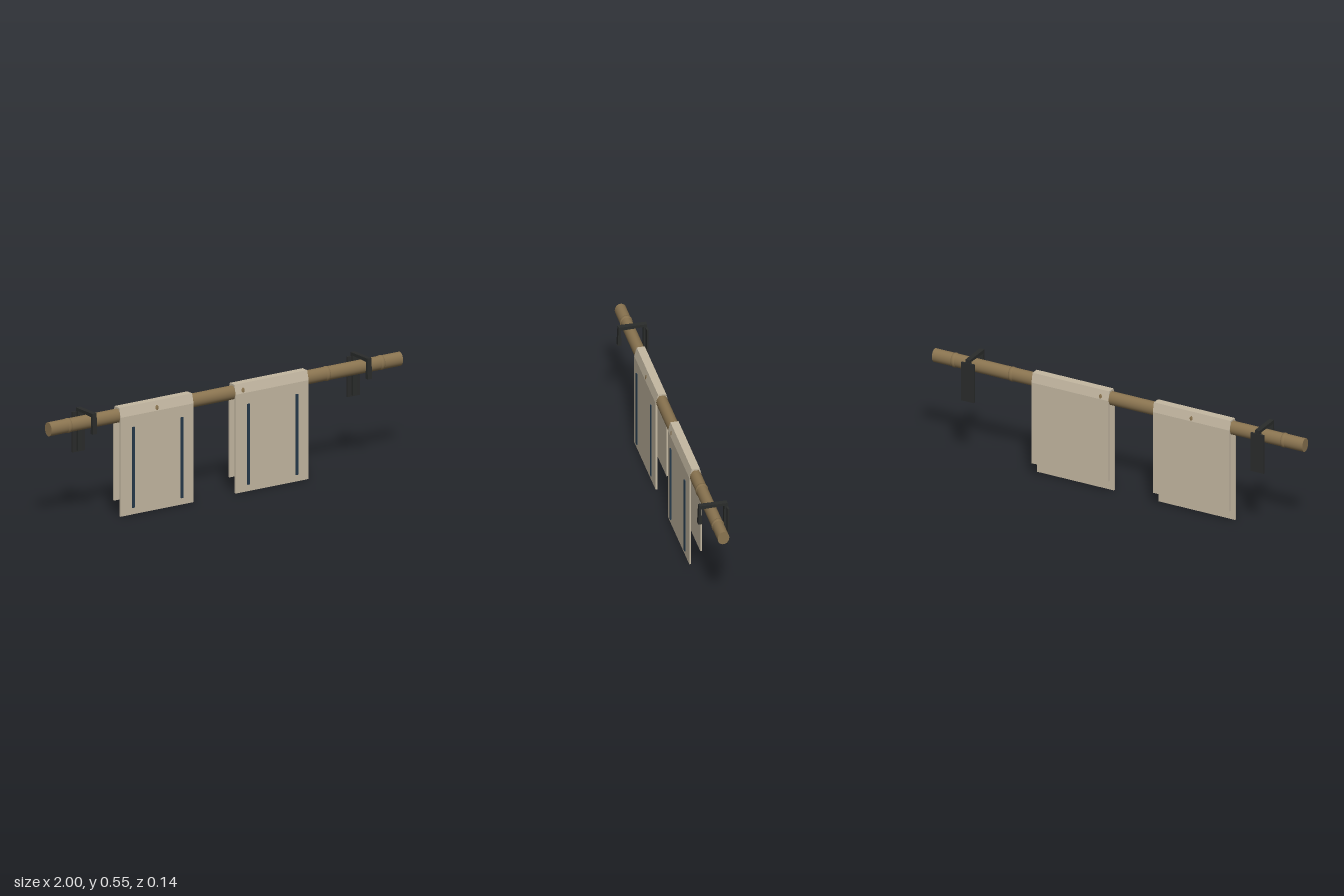
import * as THREE from 'three';

const mat = (color, side = THREE.FrontSide) =>
  new THREE.MeshStandardMaterial({ color, side });

const wood = mat(0x8a7450);
const cloth = mat(0xc4b8a2);
const metal = mat(0x2a2c2b);
const navy = mat(0x25394a);

const POLE_Y = 0.489, POLE_Z = 0.002;

function add(parent, name, geometry, material, x = 0, y = 0, z = 0) {
  const mesh = new THREE.Mesh(geometry, material);
  mesh.name = name;
  mesh.position.set(x, y, z);
  parent.add(mesh);
  return mesh;
}

// Extrudes a (z, y) side profile along x, centred on x = 0
function sideExtrude(points, width) {
  const shape = new THREE.Shape(points.map(([z, y]) => new THREE.Vector2(-z, y)));
  const geometry = new THREE.ExtrudeGeometry(shape, { depth: width, bevelEnabled: false });
  return geometry.translate(0, 0, -width / 2).rotateY(Math.PI / 2);
}

// Oval pole with raised nodes
function makePole() {
  const pole = new THREE.Group();
  pole.name = 'pole';
  const rod = new THREE.CylinderGeometry(1, 1, 2, 32).rotateZ(Math.PI / 2).scale(1, 0.034, 0.028);
  add(pole, 'rod', rod, wood, 0, POLE_Y, POLE_Z);
  const node = new THREE.TorusGeometry(0.026, 0.011, 10, 32).rotateY(Math.PI / 2).scale(1.3, 1, 0.83);
  for (const x of [-0.89, -0.4, 0.09, 0.58, 0.89]) add(pole, 'poleNode', node, wood, x, POLE_Y, POLE_Z);
  return pole;
}

// Cloth folded over the pole, longer in front, with two stripes
function makeTowel(x) {
  const towel = new THREE.Group();
  towel.name = 'towel';
  const profile = [
    [0.033, 0], [0.033, 0.485], [0.021, 0.531], [-0.018, 0.531], [-0.029, 0.485], [-0.029, 0.066],
    [-0.02, 0.066], [-0.02, 0.483], [-0.014, 0.523], [0.016, 0.523], [0.024, 0.483], [0.024, 0],
  ];
  add(towel, 'foldedCloth', sideExtrude(profile, 0.415), cloth);
  for (const sx of [-0.138, 0.138]) {
    add(towel, 'stripe', new THREE.BoxGeometry(0.014, 0.396, 0.005), navy, sx, 0.232, 0.0385);
  }
  towel.position.x = x;
  return towel;
}

// Bracket that hooks over the pole from a flat back plate
function makeBracket(x) {
  const bracket = new THREE.Group();
  bracket.name = 'bracket';
  const profile = [
    [0.073, 0.444], [0.068, 0.545], [-0.07, 0.543], [-0.07, 0.334], [-0.051, 0.334],
    [-0.053, 0.53], [0.058, 0.527], [0.053, 0.444],
  ];
  add(bracket, 'hook', sideExtrude(profile, 0.024), metal);
  add(bracket, 'backPlate', new THREE.BoxGeometry(0.07, 0.198, 0.009), metal, 0, 0.426, -0.067);
  bracket.position.x = x;
  return bracket;
}

export function createModel() {
  const model = new THREE.Group();
  model.name = 'towelRail';
  model.add(makePole());
  for (const x of [-0.402, 0.253]) model.add(makeTowel(x));
  for (const x of [-0.782, 0.782]) model.add(makeBracket(x));
  return model;
}
